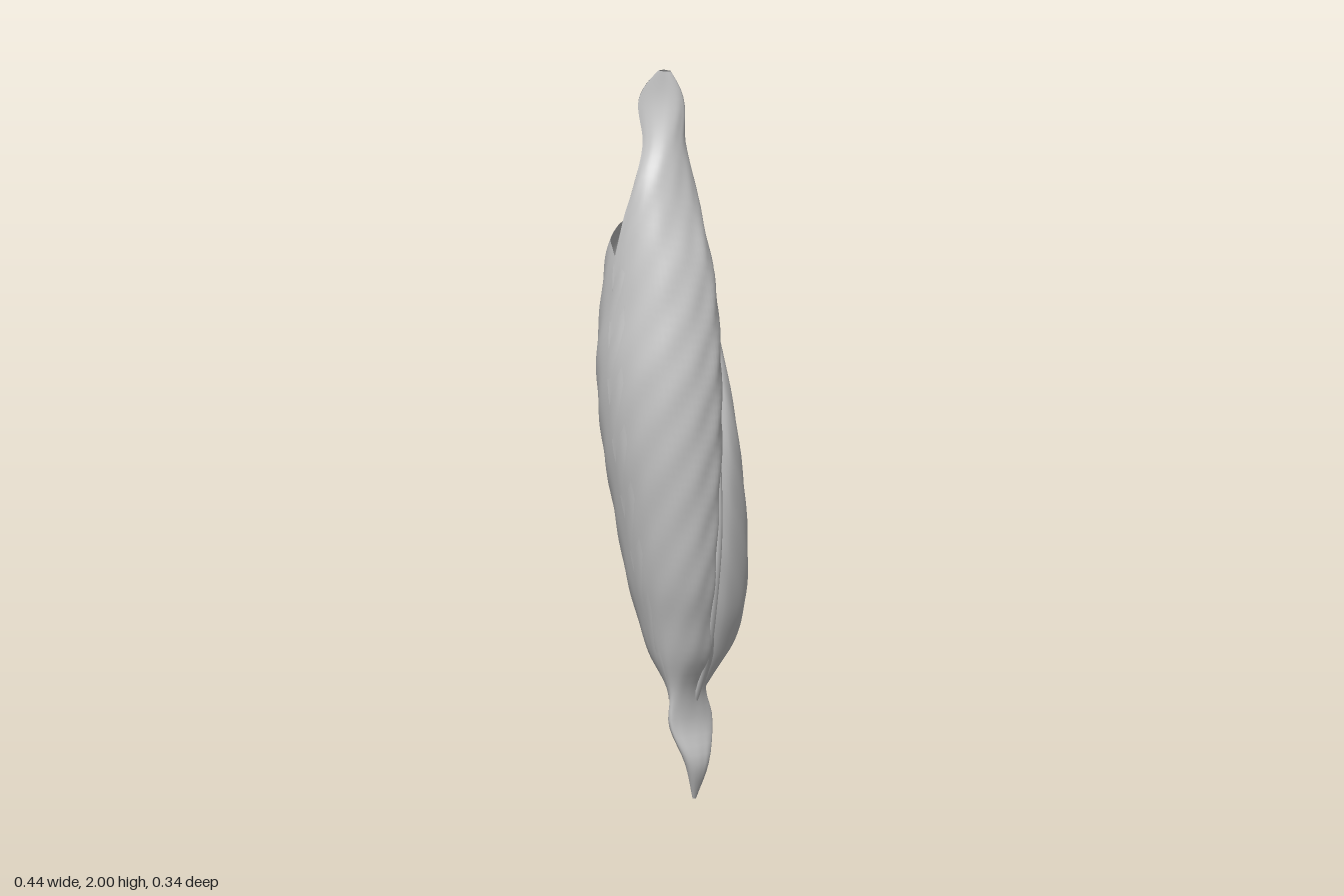
import * as THREE from 'three';

// Envelope rows: height, left x, right x, front z, back z
const BODY = [
  [0, 0.05, 0.06, 0.012, 0.005], [0.1, 0.01, 0.08, 0.045, 0], [0.21, -0.03, 0.12, 0.022, -0.025],
  [0.3, -0.035, 0.085, 0.03, -0.02], [0.4, -0.07, 0.075, 0.075, -0.07], [0.5, -0.1, 0.055, 0.1, -0.095],
  [0.6, -0.13, 0.04, 0.125, -0.113], [0.8, -0.175, 0.03, 0.152, -0.135], [1.0, -0.21, 0.025, 0.166, -0.157],
  [1.2, -0.222, 0.025, 0.165, -0.167], [1.4, -0.205, 0.028, 0.143, -0.157], [1.5, -0.195, 0.025, 0.122, -0.145],
  [1.6, -0.18, 0.02, 0.09, -0.105], [1.7, -0.155, 0.012, 0.062, -0.066], [1.8, -0.11, -0.008, 0.046, -0.068],
  [1.91, -0.085, -0.012, 0.046, -0.122], [1.95, -0.08, -0.024, 0.04, -0.095], [2, -0.075, -0.055, 0.026, -0.02],
];
// the back flap stays left of the side lobe all the way down
const FLAP_BODY = BODY.slice(2, 15).map(([y, x0, x1, zf, zb]) => [y, x0, Math.min(x1, 0.025), zf, zb]);
const LOBE = [
  [0.29, 0.05, 0.08, 0.025, 0.0], [0.34, 0.05, 0.13, 0.04, -0.025], [0.4, 0.045, 0.19, 0.06, -0.045],
  [0.5, 0.035, 0.218, 0.09, -0.052], [0.6, 0.025, 0.215, 0.11, -0.05], [0.8, 0.015, 0.178, 0.135, -0.04],
  [1.0, 0.01, 0.123, 0.147, -0.032], [1.2, 0.005, 0.078, 0.13, -0.025], [1.4, 0, 0.038, 0.085, -0.025],
  [1.52, -0.005, 0.024, 0.045, -0.03], [1.62, -0.01, 0.016, 0.0, -0.035],
];

// Cross-section profiles, each in -1..1 of the envelope
const BLADE = [[0.9, -0.3], [0.93, 0.3], [1, 0.75], [0.65, 0.98], [0.25, 1], [-0.2, 0.92], [-0.65, 0.68], [-0.93, 0.3], [-1, -0.05], [-0.95, -0.35]];
const FLAP = [[-0.99, 0], [-1, -0.15], [-0.94, -0.38], [-0.76, -0.68], [-0.4, -0.93], [0.1, -1], [0.5, -0.9], [0.72, -0.66], [0.98, -0.53], [0.78, -0.36]];
const CURL = [[-1, 0.8], [-0.5, 1], [0.1, 0.95], [0.6, 0.74], [0.93, 0.32], [1, -0.15], [0.85, -0.65], [0.4, -1], [-0.1, -0.85], [-0.7, -0.65]];
const STEM_BACK = [[-0.95, -0.35], [-0.5, -0.32], [0, -0.22], [0.5, -0.22], [0.9, -0.3]];

const material = new THREE.MeshStandardMaterial({ color: 0xcccccc, side: THREE.DoubleSide });

function envelope(rows) {
  const spline = new THREE.CubicInterpolant(rows.map(r => r[0]), rows.flatMap(r => r.slice(1)), 4);
  return y => Array.from(spline.evaluate(y));
}

// Loft a curled sheet: range(s) gives bottom and top height at position s across it
function sheet(name, rows, profile, range, wrinkle, flip = false) {
  const at = envelope(rows);
  const across = new THREE.SplineCurve(profile.map(p => new THREE.Vector2(...p)));
  const nu = 40, nv = 80, position = [], index = [];
  for (let j = 0; j <= nv; j++) {
    for (let i = 0; i <= nu; i++) {
      const s = i / nu;
      const [low, high] = range(s);
      const y = low + (high - low) * j / nv;
      const [x0, x1, zf, zb] = at(y);
      const p = across.getPoint(s);
      // slanting vein wrinkles, fading out at narrow ends
      const w = 1 - wrinkle * Math.sin(y * 40 + s * 34) * Math.min(1, (x1 - x0) * 5);
      position.push((x0 + x1) / 2 + p.x * w * (x1 - x0) / 2, y, (zf + zb) / 2 + p.y * w * (zf - zb) / 2);
      if (i < nu && j < nv) {
        const a = j * (nu + 1) + i, b = a + 1, c = a + nu + 1, d = c + 1;
        if (flip) index.push(a, b, d, a, d, c);
        else index.push(a, d, b, a, c, d);
      }
    }
  }
  const geometry = new THREE.BufferGeometry();
  geometry.setAttribute('position', new THREE.Float32BufferAttribute(position, 3));
  geometry.setIndex(index);
  geometry.computeVertexNormals();
  const mesh = new THREE.Mesh(geometry, material);
  mesh.name = name;
  return mesh;
}

export function createModel() {
  const group = new THREE.Group();
  group.name = 'curledLeaf';

  // front blade running from pointed foot to flared tip
  group.add(sheet('frontBlade', BODY, BLADE, () => [0, 2], 0.012));
  // inner face closing the upper stem
  group.add(sheet('stemBack', BODY, STEM_BACK, () => [1.35, 2], 0));
  // rolled back half, its upper rim slanting up to the free edge
  group.add(sheet('backFlap', FLAP_BODY, FLAP, s => [0.28, 1.46 + 0.23 * s], 0.012));
  // lower side half, curling round towards the back
  group.add(sheet('sideLobe', LOBE, CURL, () => [0.29, 1.62], 0.02, true));

  // raised midrib rising up the front and sinking into the blade
  const path = new THREE.CatmullRomCurve3([
    [0.05, 0.27, 0.01], [0.042, 0.4, 0.06], [0.02, 0.55, 0.103], [0.004, 0.75, 0.135], [-0.01, 1.0, 0.142],
  ].map(p => new THREE.Vector3(...p)));
  const rib = new THREE.Mesh(new THREE.TubeGeometry(path, 30, 0.014, 8), material);
  rib.name = 'midrib';
  group.add(rib);
  return group;
}
